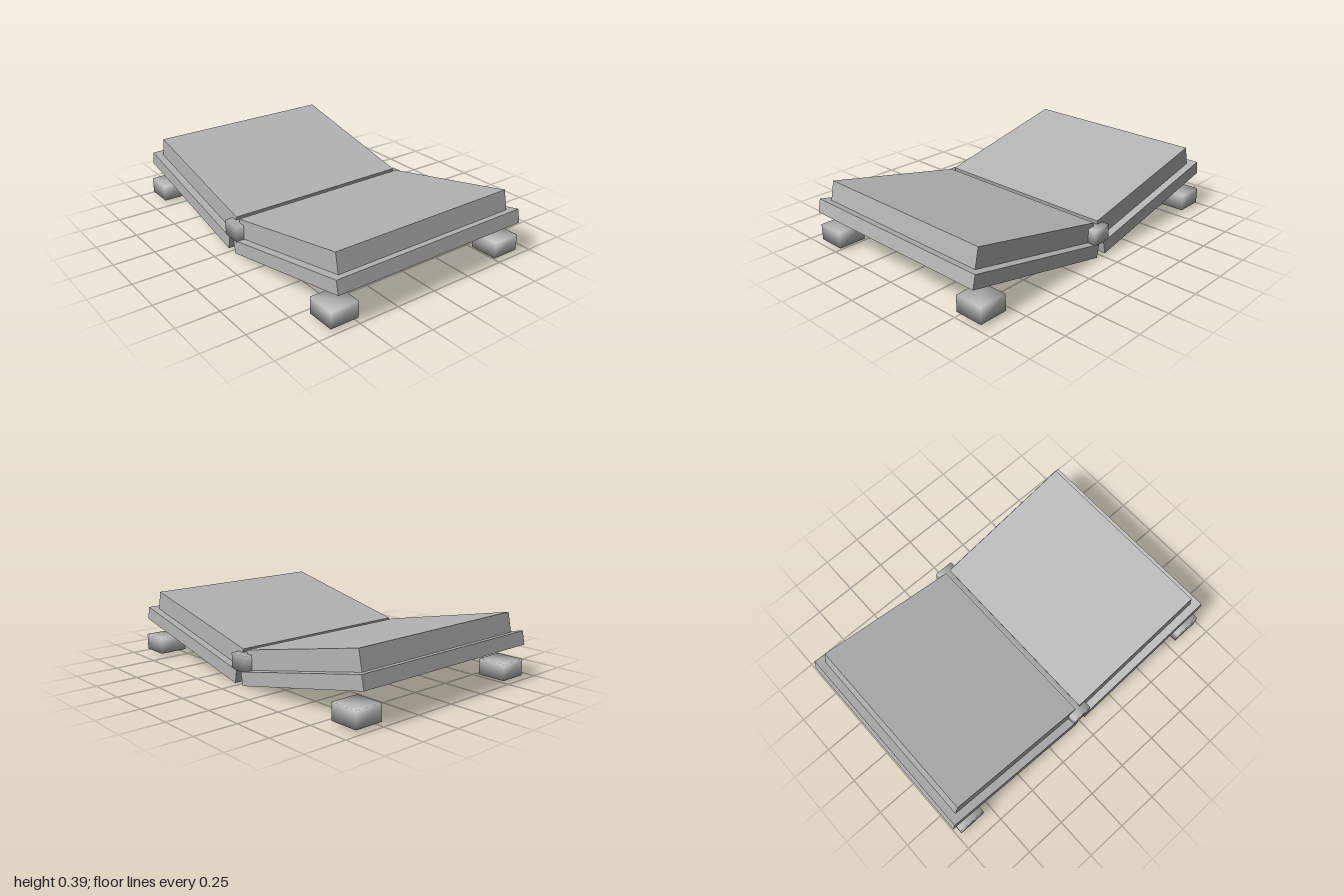
import * as THREE from 'three';
import { mergeVertices } from 'three/addons/utils/BufferGeometryUtils.js';

const TILT = THREE.MathUtils.degToRad(12.2);

// Box whose corners share one averaged normal
function softBox(w, h, d) {
  const g = new THREE.BoxGeometry(w, h, d);
  g.deleteAttribute('normal');
  g.deleteAttribute('uv');
  const merged = mergeVertices(g);
  merged.computeVertexNormals();
  return merged;
}

export function createModel() {
  const model = new THREE.Group();
  model.name = 'foldingPlatform';
  const grey = new THREE.MeshStandardMaterial({ color: 0xb4b4b4 });
  grey.name = 'grey';

  const add = (parent, name, geometry, x, y, z) => {
    const mesh = new THREE.Mesh(geometry, grey);
    mesh.name = name;
    mesh.position.set(x, y, z);
    parent.add(mesh);
  };

  for (const side of [-1, 1]) {
    const label = side > 0 ? 'left' : 'right';

    // Tilted wing: base board with a smaller, thicker pad on top
    const wing = new THREE.Group();
    wing.name = label + 'Wing';
    wing.position.set(side * 0.037, 0.002, 0);
    wing.rotation.z = side * TILT;
    add(wing, 'baseBoard', new THREE.BoxGeometry(0.983, 0.08, 1.27), side * 0.4915, 0.04, 0);
    add(wing, 'pad', new THREE.BoxGeometry(0.917, 0.116, 1.176), side * 0.4785, 0.138, 0);
    model.add(wing);

    // Corner feet
    for (const end of [-1, 1]) {
      add(model, label + (end > 0 ? 'FrontFoot' : 'BackFoot'),
        softBox(0.172, 0.097, 0.172), side * 0.888, 0.0665, end * 0.574);
    }
  }

  // Hinge bar running through the central gap
  add(model, 'hingeBar', softBox(0.125, 0.095, 1.27), 0, 0.129, 0);
  return model;
}
